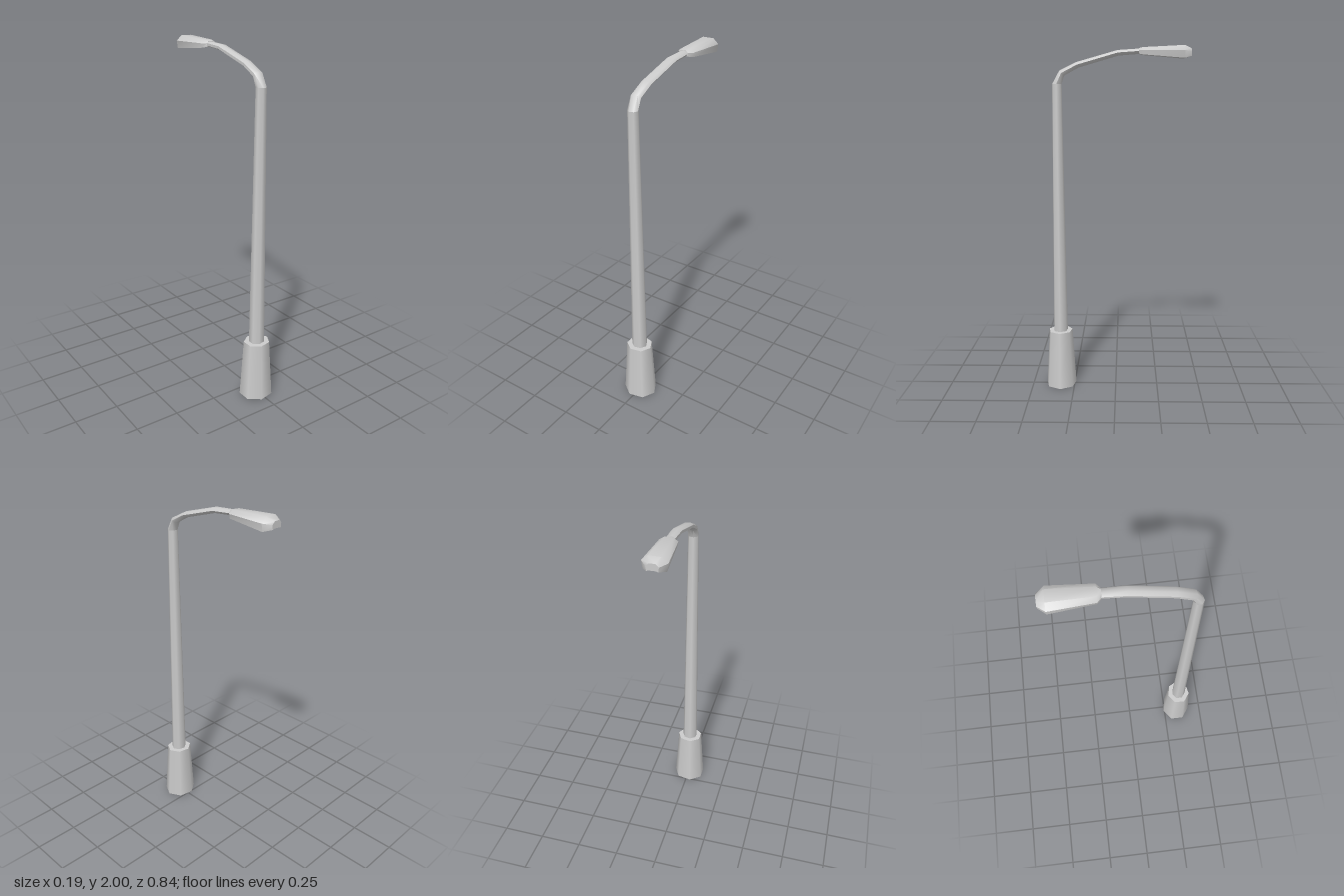
import * as THREE from 'three';
import { toCreasedNormals } from 'three/addons/utils/BufferGeometryUtils.js';

const SIDES = 7;
const CX = -0.004; // the seven-sided sections sit slightly off centre
const POLE_Z = 0.331;
const material = new THREE.MeshStandardMaterial({ color: 0xcccccc });

function addMesh(group, name, geometry) {
  const mesh = new THREE.Mesh(geometry, material);
  mesh.name = name;
  group.add(mesh);
  return mesh;
}

// Tapered upright column with a corner pointing to +x
function addColumn(group, name, rTop, rBottom, y0, y1) {
  const geometry = new THREE.CylinderGeometry(rTop, rBottom, y1 - y0, SIDES, 1, false, Math.PI / 2);
  geometry.scale(1, 1, 0.92);
  const mesh = addMesh(group, name, geometry);
  mesh.position.set(CX, (y0 + y1) / 2, POLE_Z);
}

// Skin over a run of rings of equal point count, closed at both ends
function loft(rings, crease) {
  const n = rings[0].length;
  const points = rings.flat();
  const index = [];
  for (let r = 0; r < rings.length - 1; r++) {
    for (let i = 0; i < n; i++) {
      const j = (i + 1) % n;
      const a = r * n, b = a + n;
      index.push(a + i, b + j, a + j, a + i, b + i, b + j);
    }
  }
  [0, rings.length - 1].forEach((r, end) => {
    const centre = new THREE.Vector3();
    rings[r].forEach((p) => centre.addScaledVector(p, 1 / n));
    const c = points.push(centre) - 1;
    for (let i = 0; i < n; i++) {
      const a = r * n + i, b = r * n + (i + 1) % n;
      if (end) index.push(c, b, a);
      else index.push(c, a, b);
    }
  });
  const geometry = new THREE.BufferGeometry().setFromPoints(points);
  geometry.setIndex(index);
  return toCreasedNormals(geometry, crease);
}

// Ring of the arm; lean is the tilt of the path from vertical, in degrees
function armRing([z, y, rx, rn, lean]) {
  const phi = THREE.MathUtils.degToRad(lean);
  return Array.from({ length: SIDES }, (_, i) => {
    const a = (i / SIDES) * Math.PI * 2;
    const out = rn * Math.sin(a);
    return new THREE.Vector3(CX + rx * Math.cos(a), y + out * Math.sin(phi), z + out * Math.cos(phi));
  });
}

// Lamp cross-section: bevelled top, skirts at the sides, raised underside
const lampSection = [
  [1, 0.2], [0.5, 1], [-0.5, 1], [-1, 0.2],
  [-0.9, -1], [-0.5, -0.8], [0.5, -0.8], [0.9, -1],
];

function lampRing([z, y, halfWidth, halfHeight]) {
  return lampSection.map(([u, v]) => new THREE.Vector3(-0.003 + u * halfWidth, y + v * halfHeight, z));
}

export function createModel() {
  const group = new THREE.Group();
  group.name = 'streetLamp';

  addColumn(group, 'base', 0.077, 0.099, 0, 0.34);
  addColumn(group, 'pole', 0.03, 0.046, 0.33, 1.79);

  // Curved arm: z, y, half width, half thickness, lean
  const arm = [
    [POLE_Z, 1.79, 0.03, 0.0277, 0],
    [0.303, 1.85, 0.03, 0.02, 45],
    [0.215, 1.895, 0.03, 0.017, 69],
    [-0.012, 1.96, 0.03, 0.016, 80],
    [-0.14, 1.969, 0.026, 0.015, 87],
  ];
  addMesh(group, 'arm', loft(arm.map(armRing), 1.0));

  // Lamp head: z, centre height, half width, half height
  const head = [
    [-0.128, 1.969, 0.025, 0.015],
    [-0.15, 1.969, 0.048, 0.02],
    [-0.38, 1.965, 0.065, 0.035],
    [-0.42, 1.962, 0.032, 0.02],
  ];
  addMesh(group, 'lampHead', loft(head.map(lampRing), 0.75));

  return group;
}
